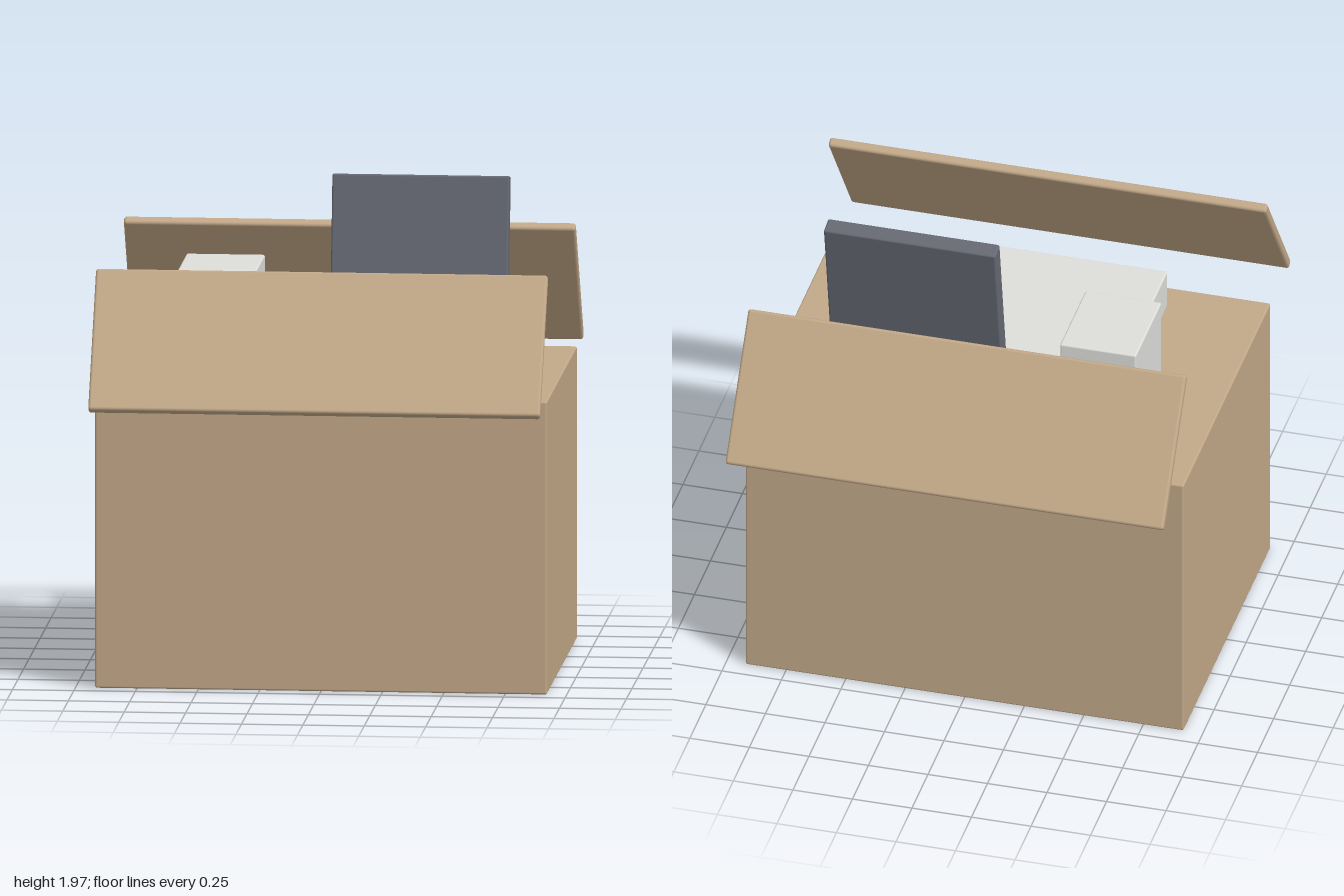
import * as THREE from 'three';
import { RoundedBoxGeometry } from 'three/addons/geometries/RoundedBoxGeometry.js';

export function createModel() {
  const group = new THREE.Group();
  const material = (name, color) => {
    const m = new THREE.MeshStandardMaterial({ color });
    m.name = name;
    return m;
  };
  const cardboard = material('cardboard', 0xc2a888);
  const paper = material('pale grey', 0xdededb);
  const slate = material('slate grey', 0x666973);

  // Softly bevelled block placed by its centre, tilted about x
  function block(name, mat, size, position, tilt = 0, radius = 0.008) {
    const mesh = new THREE.Mesh(new RoundedBoxGeometry(...size, 2, radius), mat);
    mesh.name = name;
    mesh.position.set(...position);
    mesh.rotation.x = THREE.MathUtils.degToRad(tilt);
    group.add(mesh);
  }

  // Carton
  block('carton', cardboard, [1.84, 1.205, 1.36], [0, 0.6025, 0]);

  // Front and back lid flaps, leaning inwards at the top
  for (const side of [1, -1]) {
    block(side > 0 ? 'frontFlap' : 'backFlap', cardboard,
      [1.84, 0.635, 0.04], [0, 1.45, side * 0.805], side * -35, 0.012);
  }

  // Contents: flat stack, small box and a leaning folder
  block('flatStack', paper, [1.2, 0.17, 0.96], [0.08, 1.285, 0.08]);
  block('smallBox', paper, [0.32, 0.41, 0.4], [-0.485, 1.405, -0.2]);
  block('leaningFolder', slate, [0.721, 0.8, 0.075], [0.3205, 1.568, -0.243], -10);

  return group;
}
